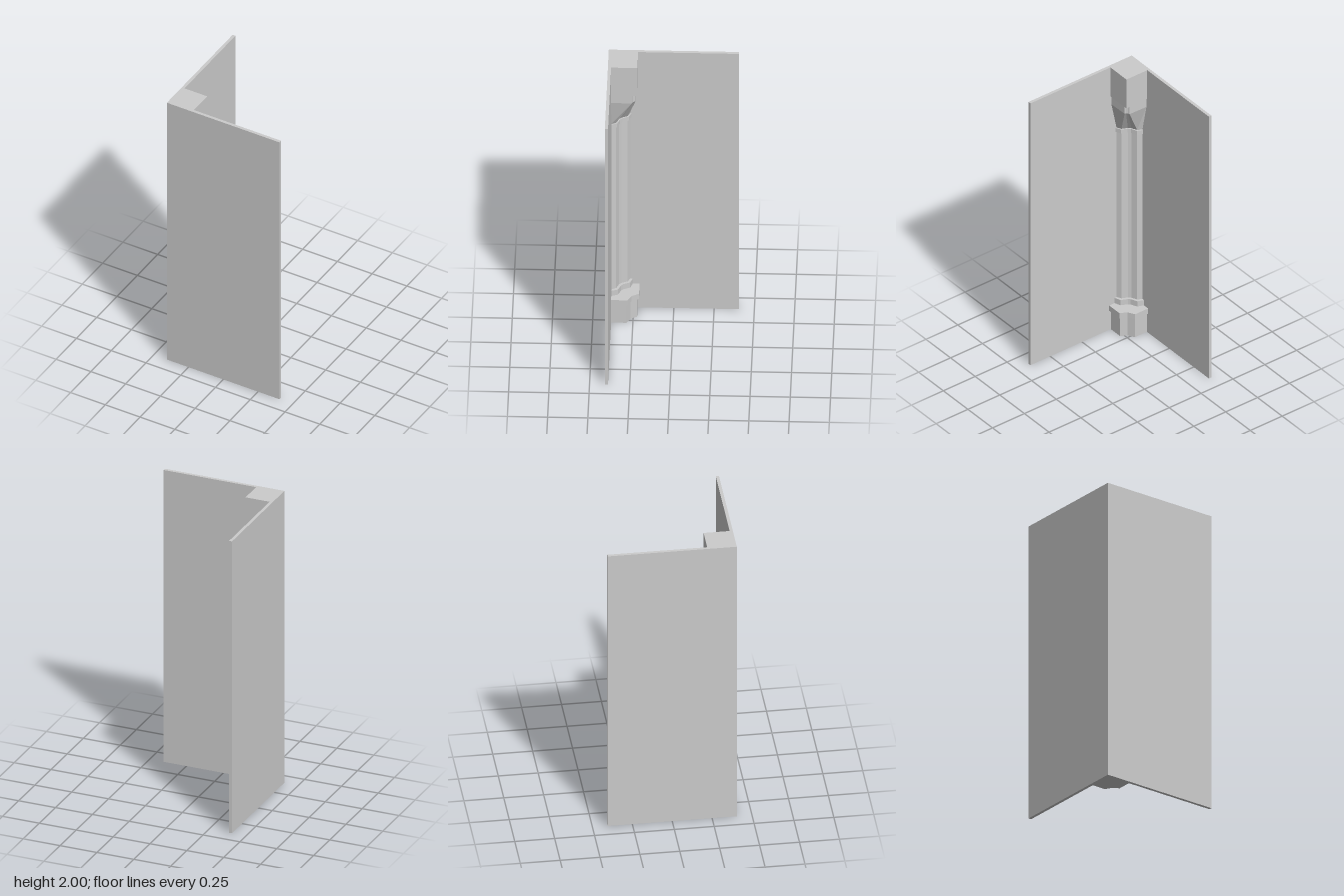
import * as THREE from 'three';

const HALF = 0.405, WALL = 0.02, INNER = HALF - WALL;

// Mirror half a profile about the corner diagonal and close it at the inner corner.
// Points are [distance from side wall, distance from front wall].
function section(half, middle = []) {
  const mirrored = half.map(([u, v]) => [v, u]).reverse();
  return [[0, 0], ...half, ...middle, ...mirrored];
}

// Faceted solid between a lower and an upper section
function loft(lower, upper, y0, y1) {
  const pos = [];
  const put = ([u, v], y) => pos.push(u - INNER, y, INNER - v);
  const n = lower.length;
  for (let i = 0; i < n; i++) {
    const j = (i + 1) % n;
    put(lower[i], y0); put(lower[j], y0); put(upper[j], y1);
    put(lower[i], y0); put(upper[j], y1); put(upper[i], y1);
  }
  const cap = (pts, y, flip) => {
    const contour = pts.map(([u, v]) => new THREE.Vector2(u, v));
    for (const [a, b, c] of THREE.ShapeUtils.triangulateShape(contour, [])) {
      for (const k of flip ? [a, c, b] : [a, b, c]) put(pts[k], y);
    }
  };
  cap(lower, y0, true);
  cap(upper, y1, false);
  const geo = new THREE.BufferGeometry();
  geo.setAttribute('position', new THREE.Float32BufferAttribute(pos, 3));
  geo.computeVertexNormals();
  return geo;
}

export function createModel() {
  const group = new THREE.Group();
  const material = new THREE.MeshStandardMaterial({ color: 0xcccccc, flatShading: true });
  const add = (name, geometry, parent = group) => {
    const mesh = new THREE.Mesh(geometry, material);
    mesh.name = name;
    parent.add(mesh);
    return mesh;
  };

  // Two thin walls meeting at the corner
  add('frontWall', new THREE.BoxGeometry(2 * HALF, 2, WALL)).position.set(0, 1, HALF - WALL / 2);
  add('sideWall', new THREE.BoxGeometry(WALL, 2, 2 * HALF - WALL)).position.set(-HALF + WALL / 2, 1, -WALL / 2);

  // Cross-sections of the corner column
  const base = section([[0.16, 0], [0.16, 0.095]], [[0.118, 0.118]]);
  const plinth = section([[0.172, 0], [0.172, 0.102]], [[0.127, 0.127]]);
  const ring = section([[0.13, 0], [0.115, 0.041], [0.072, 0.06]]);
  const shaft = section([[0.115, 0], [0.099, 0.03], [0.062, 0.046]]);
  const collar = section([[0.122, 0], [0.106, 0.036], [0.068, 0.052]]);
  const neck = section([[0.155, 0], [0.152, 0.13], [0.143, 0.134]]);
  const block = section([[0.163, 0]], [[0.163, 0.163]]);

  // Column, stacked from the floor up
  const column = new THREE.Group();
  column.name = 'cornerColumn';
  group.add(column);
  const parts = [
    ['base', base, base, 0, 0.145],
    ['plinth', plinth, plinth, 0.145, 0.185],
    ['lowerRing', ring, ring, 0.185, 0.225],
    ['shaft', shaft, shaft, 0.225, 1.49],
    ['upperRing', collar, collar, 1.49, 1.52],
    ['flaredCapital', shaft, neck, 1.52, 1.715],
    ['neck', neck, neck, 1.715, 1.78],
    ['topBlock', block, block, 1.78, 2],
  ];
  for (const [name, lower, upper, y0, y1] of parts) add(name, loft(lower, upper, y0, y1), column);

  return group;
}
